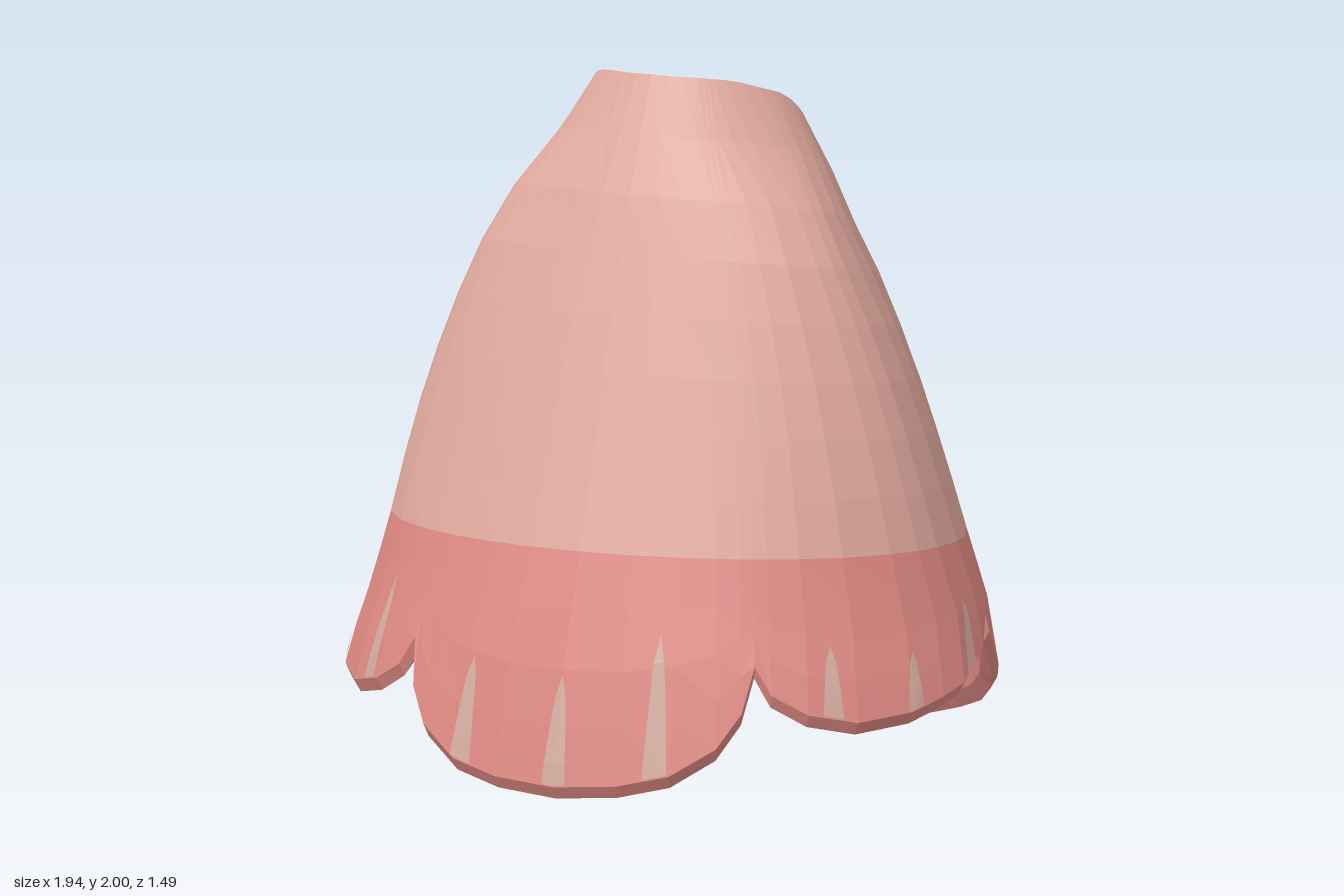
import * as THREE from 'three';

// Piecewise-linear lookup in a short list of [key, value] pairs
function lerpTable(table, k) {
  if (k <= table[0][0]) return table[0][1];
  for (let i = 1; i < table.length; i++) {
    const [k1, v1] = table[i], [k0, v0] = table[i - 1];
    if (k <= k1) return v0 + (v1 - v0) * (k - k0) / (k1 - k0);
  }
  return table[table.length - 1][1];
}

// Cross-section sizes by height: half width, front z, back z, centre z
const HALF_WIDTH = [[0, 1.03], [0.2, 0.995], [0.31, 0.975], [0.5, 0.925], [0.68, 0.87], [0.9, 0.81], [1.1, 0.745],
  [1.3, 0.665], [1.5, 0.57], [1.68, 0.465], [1.8, 0.375], [1.93, 0.295], [2, 0.27]];
const FRONT = [[0, 0.75], [0.1, 0.735], [0.4, 0.67], [0.62, 0.6], [0.85, 0.53], [1.23, 0.42], [1.7, 0.27], [2, 0.145]];
const BACK = [[0.05, -0.76], [0.25, -0.75], [0.65, -0.69], [1, -0.61], [1.38, -0.53], [1.55, -0.465], [1.7, -0.42], [1.82, -0.37], [2, -0.3]];
const CENTRE = [[0.1, 0.05], [0.3, 0.02], [0.5, -0.03], [0.9, 0.01], [1.3, 0.03], [1.57, 0.04], [1.8, -0.06], [2, -0.13]];

// Rim and hem heights by angle from the front, in degrees
const TOP = [[0, 2], [30, 1.995], [50, 1.985], [90, 1.93], [131, 1.82], [151, 1.7], [166, 1.55], [173, 1.38], [177, 1.2], [179.3, 1]];
const HEM = [[0, 0], [11, 0.015], [20, 0.05], [28, 0.13], [32.5, 0.23], [35, 0.36], [38, 0.28], [45, 0.225], [55, 0.2],
  [68, 0.22], [85, 0.28], [96, 0.36], [104, 0.47], [106, 0.38], [115, 0.27], [130, 0.17], [150, 0.085], [160, 0.075],
  [170, 0.11], [176, 0.2], [179.3, 0.34]];
const SEAM_STEP = [[104, 0], [104.05, 0.012], [125, 0]];
const SLIT_TUCK = [[173, 0], [177, 0.015], [179.3, 0.05]];

// Inner lip of the neck by angle: x, y, z and the drop of the small ledge beneath it
const NECK_X = [[0, 0], [45, 0.085], [70, 0.12], [90, 0.13], [131, 0.13], [151, 0.1], [166, 0.05], [173, 0.03], [179.3, 0.009]];
const NECK_Y = [[0, 1.74], [45, 1.73], [90, 1.7], [131, 1.66], [151, 1.6], [166, 1.5], [173, 1.36], [177, 1.19], [179.3, 0.99]];
const NECK_Z = [[0, -0.03], [45, -0.055], [90, -0.11], [131, -0.23], [151, -0.32], [166, -0.41], [173, -0.47], [179.3, -0.535]];
const LEDGE = [[0, 0.09], [110, 0.08], [151, 0.03], [166, 0.01]];

const WALL = 0.05, LIP = 0.035, BAND = 0.69;

const half = [11, 20, 28, 32.5, 35, 38, 45, 55, 68, 77, 85, 96, 104, 104.05, 106, 115, 123, 131, 141, 151, 159, 166, 170, 173, 176, 177, 179.3];
const COLUMNS = [...half.map(a => -a).reverse(), 0, ...half];
const mix = (a, b, t) => a + (b - a) * t;

// Point on the cloth at an angle and height, moved inwards by inset
function cloth(deg, y, inset = 0) {
  const d = Math.abs(deg), a = deg * Math.PI / 180, c = Math.cos(a);
  const zc = lerpTable(CENTRE, y);
  const seam = 1 - lerpTable(SEAM_STEP, d) * THREE.MathUtils.clamp((1.6 - y) / 0.2, 0, 1);
  const rx = lerpTable(HALF_WIDTH, y) * seam - inset;
  const reach = c > 0 ? lerpTable(FRONT, y) - zc : zc - lerpTable(BACK, y);
  const rz = reach * seam * (1 - lerpTable(SLIT_TUCK, d)) - inset;
  return [rx * Math.sin(a), y, zc + rz * c];
}

// Point on the flat facet between two neighbouring columns
function facet(deg, y, inset) {
  const i = COLUMNS.findIndex(c => c > deg);
  const t = (deg - COLUMNS[i - 1]) / (COLUMNS[i] - COLUMNS[i - 1]);
  const p = cloth(COLUMNS[i - 1], y, inset), q = cloth(COLUMNS[i], y, inset);
  return p.map((v, k) => mix(v, q[k], t));
}

const top = d => lerpTable(TOP, Math.abs(d));
const hem = d => lerpTable(HEM, Math.abs(d));
const outerHem = d => hem(d) + LIP;

// Neck lip, lowered by drop
function neck(deg, drop = 0) {
  const d = Math.abs(deg);
  return [Math.sign(deg) * lerpTable(NECK_X, d), lerpTable(NECK_Y, d) - drop, lerpTable(NECK_Z, d)];
}

// Inner wall: neck lip, ledge, then down the inside of the cloth to the hem
function inner(deg, t) {
  const ledge = lerpTable(LEDGE, Math.abs(deg));
  if (t === 0) return neck(deg);
  if (t === 0.05) return neck(deg, ledge);
  const start = neck(deg)[1] - ledge * 1.3 - 0.01;
  return cloth(deg, mix(start, hem(deg) + 0.045, (t - 0.1) / 0.9), WALL);
}

// Rounded hem: outer edge, lowest line, inner edge
const hemRing = (d, k) => k === 0 ? cloth(d, outerHem(d)) : k === 1 ? cloth(d, hem(d), 0.025) : inner(d, 1);

// Flat-shaded sheet from point(u, v), u in us and v in vs
function sheet(name, material, us, vs, point, flip = false) {
  const pos = [];
  const tri = (a, b, c) => pos.push(...a, ...(flip ? c : b), ...(flip ? b : c));
  for (let i = 0; i < us.length - 1; i++) {
    for (let j = 0; j < vs.length - 1; j++) {
      const a = point(us[i], vs[j]), b = point(us[i], vs[j + 1]);
      const c = point(us[i + 1], vs[j + 1]), d = point(us[i + 1], vs[j]);
      tri(a, b, c);
      tri(a, c, d);
    }
  }
  const geo = new THREE.BufferGeometry();
  geo.setAttribute('position', new THREE.Float32BufferAttribute(pos, 3));
  geo.computeVertexNormals();
  const mesh = new THREE.Mesh(geo, material);
  mesh.name = name;
  return mesh;
}

const steps = n => Array.from({ length: n + 1 }, (_, i) => i / n);

export function createModel() {
  const make = (name, color) => {
    const m = new THREE.MeshStandardMaterial({ color, side: THREE.DoubleSide });
    m.name = name;
    return m;
  };
  const pale = make('palePink', 0xe3aba0);
  const rose = make('rosePink', 0xe08a84);
  const streakColor = make('dustyBeige', 0xd6ada0);

  const group = new THREE.Group();
  group.name = 'petalCape';

  // Outer cloth: pale body above a rose band
  group.add(sheet('upperCloth', pale, COLUMNS, steps(8), (d, t) => cloth(d, mix(top(d), BAND, t))));
  group.add(sheet('petalBand', rose, COLUMNS, steps(4), (d, t) => cloth(d, mix(BAND, outerHem(d), t))));

  // Lining, rounded hem and the funnel-shaped neck rim
  const liningRows = [0, 0.05, ...steps(9).map(t => 0.1 + 0.9 * t)];
  group.add(sheet('lining', rose, COLUMNS, liningRows, inner, true));
  group.add(sheet('hemEdge', rose, COLUMNS, [0, 1, 2], hemRing));
  const rim = (d, t) => t ? neck(d) : cloth(d, top(d));
  group.add(sheet('neckRim', rose, COLUMNS.filter(d => Math.abs(d) <= 159), [0, 1], rim, true));

  // Edges of the opening at the back
  for (const side of [-1, 1]) {
    const label = side > 0 ? 'left' : 'right';
    const upper = COLUMNS.filter(d => d * side >= 159);
    group.add(sheet(label + 'OpeningEdge', pale, upper, [0, 1], rim, true));
    const d = 179.3 * side;
    const edge = (y0, y1) => (t, s) => cloth(d, mix(y0, y1, t), s * WALL);
    group.add(sheet(label + 'SlitEdge', pale, steps(3), [0, 1], edge(top(d), BAND), side < 0));
    group.add(sheet(label + 'SlitBand', rose, steps(3), [0, 1], edge(BAND, outerHem(d)), side < 0));
  }

  // Tapered streaks rising from the hem: [angle, tip height]
  const streaks = [[0, 0.35], [17.5, 0.48], [-18.5, 0.38], [50, 0.45], [-48, 0.55], [69, 0.42], [-72, 0.4],
    [89, 0.54], [-90, 0.5], [134, 0.5], [-134, 0.46], [158, 0.3], [-158, 0.34]];
  for (const [angle, tip] of streaks) {
    group.add(sheet('hemStreak', streakColor, [-1, 0, 1], steps(5), (u, t) => {
      const y = mix(tip, outerHem(angle + u * 2.1) + 0.005, t);
      return facet(angle + u * 2.1 * Math.sqrt(t), y, -0.003);
    }));
  }
  return group;
}
